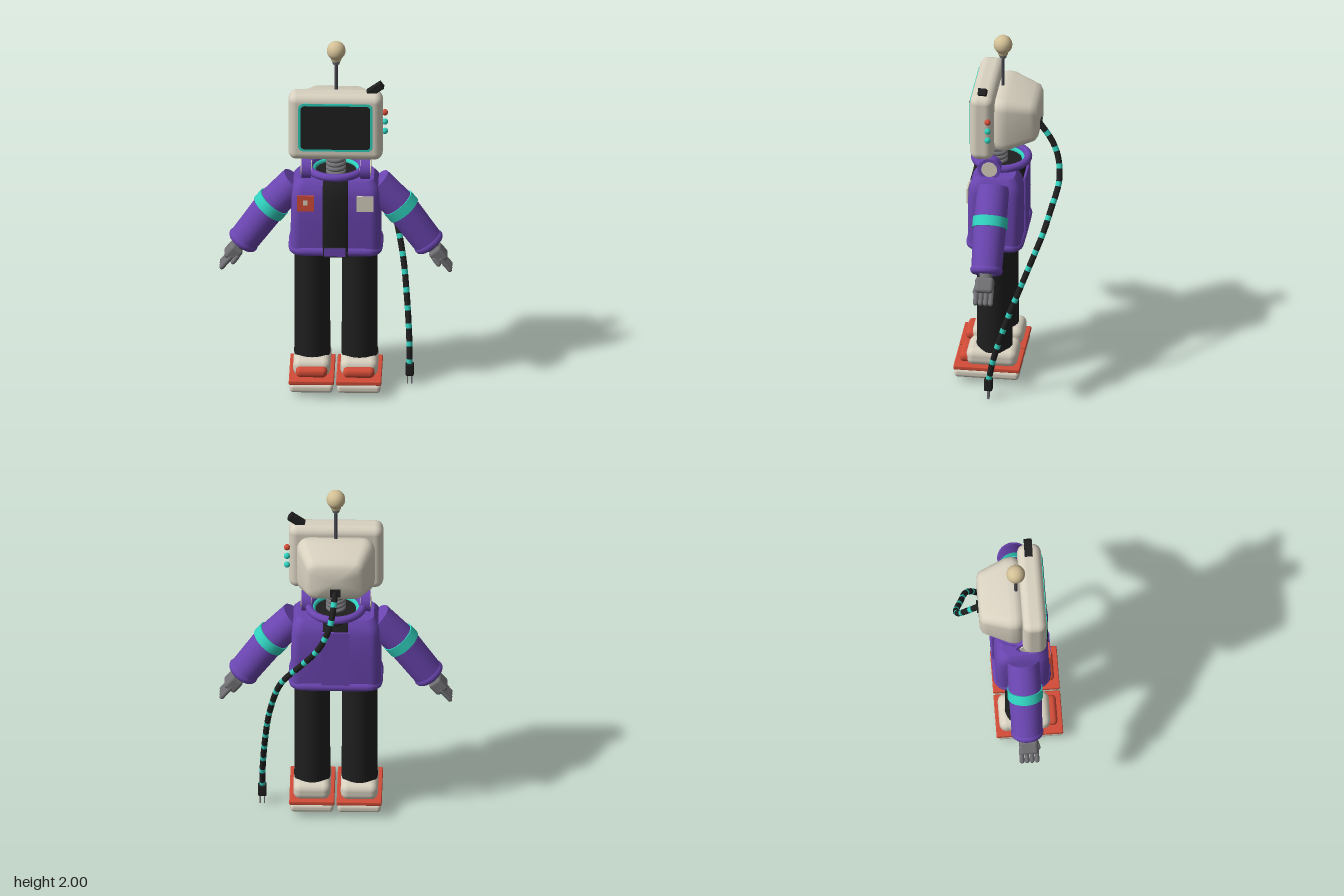
import * as THREE from 'three';
import { RoundedBoxGeometry } from 'three/addons/geometries/RoundedBoxGeometry.js';
import { toCreasedNormals } from 'three/addons/utils/BufferGeometryUtils.js';

const material = (name, color) => Object.assign(new THREE.MeshStandardMaterial({ color }), { name });

// Rounded rectangle outline as [u, v] pairs
function outline(hu, hv, r, seg = 5) {
  const pts = [];
  [[1, 1], [-1, 1], [-1, -1], [1, -1]].forEach(([su, sv], k) => {
    for (let i = 0; i <= seg; i++) {
      const a = (k + i / seg) * Math.PI / 2;
      pts.push([su * (hu - r) + r * Math.cos(a), sv * (hv - r) + r * Math.sin(a)]);
    }
  });
  return pts;
}

// Closed loft through rounded-rectangle sections [height, halfX, halfZ, cornerRadius]
function loft(sections) {
  const pos = [], idx = [];
  const rings = sections.map(([y, hx, hz, r]) => outline(hx, hz, r).map(([x, z]) => [x, y, z]));
  const n = rings[0].length;
  rings.forEach(ring => ring.forEach(p => pos.push(...p)));
  for (let i = 0; i < rings.length - 1; i++) {
    for (let j = 0; j < n; j++) {
      const a = i * n + j, b = i * n + (j + 1) % n;
      idx.push(a, a + n, b, b, a + n, b + n);
    }
  }
  const top = rings.length - 1;
  pos.push(0, sections[0][0], 0, 0, sections[top][0], 0);
  for (let j = 0; j < n; j++) {
    const k = (j + 1) % n;
    idx.push(rings.length * n, j, k, rings.length * n + 1, top * n + k, top * n + j);
  }
  const geo = new THREE.BufferGeometry();
  geo.setAttribute('position', new THREE.Float32BufferAttribute(pos, 3));
  geo.setIndex(idx);
  return toCreasedNormals(geo, 0.7);
}

function roundedPlate(hw, hh, r, depth) {
  const shape = new THREE.Shape(outline(hw, hh, r).map(p => new THREE.Vector2(...p)));
  return new THREE.ExtrudeGeometry(shape, { depth, bevelEnabled: false });
}

export function createModel() {
  const model = new THREE.Group();
  const cream = material('cream', 0xd8d1c0);
  const purple = material('purple', 0x6a45b0);
  const black = material('black', 0x1f1f1f);
  const teal = material('teal', 0x2fcfbc);
  const red = material('red', 0xd24c37);
  const grey = material('grey', 0x717175);
  const darkGrey = material('darkGrey', 0x4a4a52);
  const bulbTan = material('bulbTan', 0xd3c096);
  const D = 0.068; // depth of the body axis

  const add = (name, geo, mat, x = 0, y = 0, z = 0) => {
    const mesh = new THREE.Mesh(geo, mat);
    mesh.name = name;
    mesh.position.set(x, y, z);
    model.add(mesh);
    return mesh;
  };
  const box = (name, mat, w, h, d, x, y, z, r = 0) =>
    add(name, r ? new RoundedBoxGeometry(w, h, d, 4, r) : new THREE.BoxGeometry(w, h, d), mat, x, y, z);
  const tube = (name, mat, rTop, rBottom, h, x, y, z) =>
    add(name, new THREE.CylinderGeometry(rTop, rBottom, h, 28), mat, x, y, z);
  const ring = (name, mat, r, t, x, y, z) =>
    add(name, new THREE.TorusGeometry(r, t, 12, 40).rotateX(Math.PI / 2), mat, x, y, z);
  const up = new THREE.Vector3(0, 1, 0);
  const aim = (mesh, dir) => mesh.quaternion.setFromUnitVectors(up, dir);

  // Head: front casing, tapered back shell, framed screen
  box('headCasing', cream, 0.506, 0.385, 0.128, 0, 1.553, 0.134, 0.045);
  add('headBackShell', loft([
    [-0.08, 0.185, 0.135, 0.05], [-0.06, 0.202, 0.154, 0.06], [-0.035, 0.209, 0.158, 0.06],
    [0, 0.204, 0.154, 0.06], [0.115, 0.16, 0.118, 0.05], [0.14, 0.15, 0.108, 0.045],
    [0.155, 0.128, 0.088, 0.04],
  ]).rotateX(-Math.PI / 2), cream, 0, 1.545, 0);
  add('screenFrame', roundedPlate(0.2, 0.14, 0.03, 0.007), teal, 0, 1.562, 0.195);
  add('screen', roundedPlate(0.187, 0.127, 0.022, 0.008), black, 0, 1.562, 0.197);
  [[1.61, red], [1.555, teal], [1.5, teal]].forEach(([y, mat]) =>
    add('sideButton', new THREE.SphereGeometry(0.017, 16, 12), mat, 0.263, y, 0.097));
  box('topSwitch', black, 0.09, 0.036, 0.043, 0.213, 1.763, 0.13).rotation.z = 0.62;

  // Antenna with a bulb
  tube('antennaRod', darkGrey, 0.009, 0.009, 0.19, 0, 1.785, 0.048);
  tube('bulbSocket', grey, 0.026, 0.018, 0.03, 0, 1.885, 0.048);
  const bulb = [[0, 1.885], [0.024, 1.888], [0.03, 1.905], [0.045, 1.925], [0.05, 1.945],
    [0.047, 1.967], [0.036, 1.985], [0.019, 1.997], [0, 2]].map(p => new THREE.Vector2(...p));
  add('bulb', new THREE.LatheGeometry(new THREE.SplineCurve(bulb).getPoints(24), 28), bulbTan, 0, 0, 0.048);

  // Neck spring, collar and its side discs
  tube('neckCore', darkGrey, 0.036, 0.036, 0.18, 0, 1.29, 0.075);
  for (let i = 0; i < 5; i++) ring('neckCoil', grey, 0.043, 0.012, 0, 1.25 + i * 0.026, 0.075);
  tube('neckBase', black, 0.12, 0.12, 0.05, 0, 1.222, 0.06);
  ring('collar', purple, 0.144, 0.021, 0, 1.266, 0.056);
  ring('collarLining', teal, 0.124, 0.015, 0, 1.25, 0.056);
  for (const s of [-1, 1]) {
    tube('collarDisc', purple, 0.062, 0.062, 0.052, s * 0.158, 1.28, 0.098).rotation.z = Math.PI / 2;
    tube('collarDiscCap', cream, 0.043, 0.043, 0.06, s * 0.159, 1.28, 0.098).rotation.z = Math.PI / 2;
  }

  // Jacket body with dark front panel, hem and buckle
  const body = [[0.82, 0.243, 0.142, 0.05], [1.0, 0.24, 0.145, 0.05], [1.15, 0.235, 0.143, 0.05],
    [1.2, 0.228, 0.13, 0.05], [1.235, 0.205, 0.105, 0.05]];
  add('jacket', loft(body), purple, 0, 0, D);
  add('shirtPanel', loft(body.map(([y, , hz]) => [y, 0.068, hz + 0.004, 0.004])), black, 0, 0, D)
    .scale.z = 1;
  box('jacketBackPanel', purple, 0.15, 0.36, 0.012, 0, 1.0, D - 0.145);
  const hemPath = new THREE.CatmullRomCurve3(
    outline(0.225, 0.128, 0.05).map(([x, z]) => new THREE.Vector3(x, 0, z)), true);
  add('hem', new THREE.TubeGeometry(hemPath, 100, 0.027, 12, true), purple, 0, 0.832, D);
  box('jacketUnderside', black, 0.42, 0.01, 0.22, 0, 0.818, D);
  box('hemPlate', black, 0.134, 0.054, 0.008, 0, 0.835, D + 0.153);
  box('buckle', purple, 0.114, 0.046, 0.008, -0.003, 0.838, D + 0.159);

  // Chest patches
  box('redPatch', red, 0.09, 0.09, 0.008, -0.16, 1.12, D + 0.147);
  box('redPatchMark', cream, 0.024, 0.03, 0.004, -0.16, 1.125, D + 0.151);
  box('creamPatch', cream, 0.09, 0.09, 0.008, 0.16, 1.12, D + 0.147);

  // Pelvis, legs and shoes
  add('pelvis', new THREE.SphereGeometry(1, 28, 16), black, 0, 0.83, 0.075).scale.set(0.2, 0.065, 0.09);
  for (const s of [-1, 1]) {
    const x = s * 0.127;
    tube('leg', black, 0.094, 0.097, 0.66, x, 0.51, 0.076);
    box('shoeSole', cream, 0.232, 0.05, 0.35, x, 0.053, 0.107, 0.02);
    box('shoeMidsole', red, 0.242, 0.024, 0.358, x, 0.09, 0.106, 0.006);
    box('shoeUpper', cream, 0.2, 0.1, 0.275, x, 0.142, 0.083, 0.04);
    box('shoeToe', red, 0.168, 0.055, 0.12, x, 0.132, 0.198, 0.025);
  }

  // Arms: sleeve in two lengths, band, cuff and hand
  for (const s of [-1, 1]) {
    const p = (x, y) => new THREE.Vector3(s * x, y, 0.072);
    const shoulder = p(0.215, 1.187), elbow = p(0.348, 1.043), wrist = p(0.496, 0.836);
    const limb = (name, a, b, r0, r1) => {
      const c = a.clone().add(b).multiplyScalar(0.5);
      aim(tube(name, purple, r1, r0, a.distanceTo(b), c.x, c.y, c.z), b.clone().sub(a).normalize());
    };
    limb('upperSleeve', shoulder, elbow, 0.086, 0.089);
    limb('lowerSleeve', elbow, wrist, 0.089, 0.083);
    const fore = wrist.clone().sub(elbow).normalize();
    const mid = elbow.clone().sub(shoulder).normalize().add(fore).normalize();
    aim(tube('sleeveBand', teal, 0.095, 0.095, 0.056, elbow.x, elbow.y, elbow.z), mid);
    aim(ring('cuff', purple, 0.063, 0.025, wrist.x, wrist.y, wrist.z), fore);

    const hand = new THREE.Group();
    hand.name = 'hand';
    hand.position.copy(wrist);
    hand.rotation.z = s * 0.68;
    model.add(hand);
    const part = (name, geo, x, y, z) => {
      const m = add(name, geo, grey, x, y, z);
      hand.add(m);
      return m;
    };
    part('wristJoint', new THREE.CylinderGeometry(0.035, 0.035, 0.05, 16), 0, -0.03, 0);
    part('palm', new RoundedBoxGeometry(0.076, 0.085, 0.1, 3, 0.018), 0, -0.085, 0.004);
    for (let i = 0; i < 4; i++) {
      part('finger', new THREE.CapsuleGeometry(0.0135, 0.075, 4, 10), 0, -0.145, -0.036 + i * 0.027);
    }
    part('thumb', new THREE.CapsuleGeometry(0.014, 0.035, 4, 10), -s * 0.025, -0.1, 0.05).rotation.x = -0.25;
  }

  // Striped power cord from the back of the head to a hanging plug
  const path = new THREE.CatmullRomCurve3([
    [0, 1.485, -0.15], [0.012, 1.39, -0.217], [0.035, 1.3, -0.255], [0.09, 1.19, -0.268],
    [0.19, 1.06, -0.235], [0.265, 0.97, -0.208], [0.305, 0.89, -0.178], [0.352, 0.69, -0.102],
    [0.378, 0.465, -0.02], [0.393, 0.23, 0.05], [0.395, 0.1, 0.075],
  ].map(v => new THREE.Vector3(...v)));
  const steps = 112, sides = 12;
  const cord = new THREE.TubeGeometry(path, steps, 0.0165, sides);
  for (let j = 0; j < steps; j++) cord.addGroup(j * sides * 6, sides * 6, j % 7 === 4 || j % 7 === 5 ? 1 : 0);
  add('powerCord', cord, [black, teal]);
  box('cordSocket', black, 0.056, 0.045, 0.03, 0, 1.483, -0.148);
  box('plug', black, 0.046, 0.07, 0.046, 0.395, 0.085, 0.075, 0.01);
  for (const s of [-1, 1]) box('plugProng', grey, 0.006, 0.06, 0.012, 0.395 + s * 0.011, 0.03, 0.075);

  return model;
}
